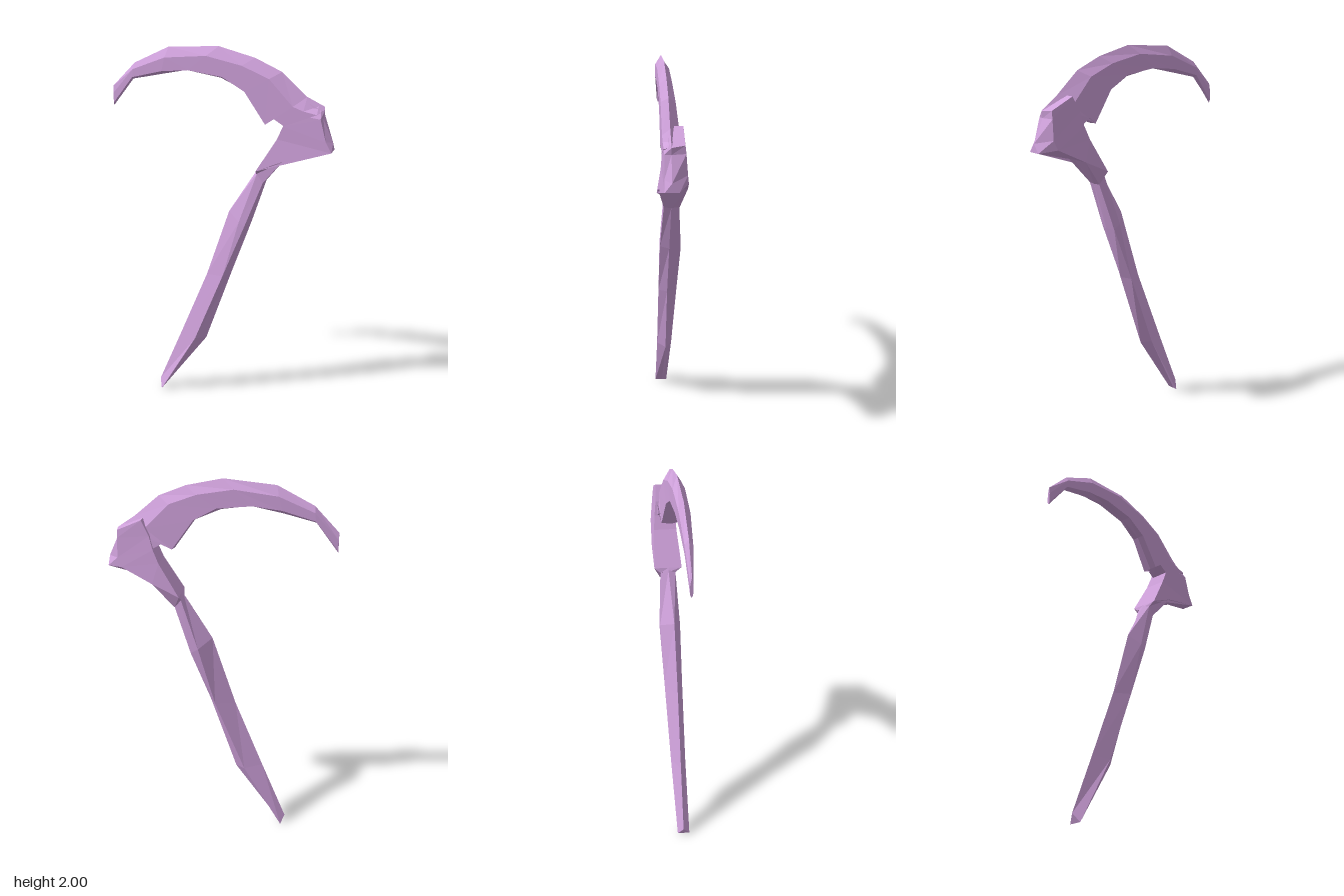
import * as THREE from 'three';

// Lofts six-sided sections. Each section: [left x,y], [right x,y],
// [front z, back z, left ridge z, right ridge z],
// [front-left, front-right, back-left, back-right] as fractions from left to right.
function loft(sections) {
  const rings = sections.map(([l, r, [zf, zb, zl, zr], [fl, fr, bl, br]]) => {
    const at = (t, z) => [l[0] + (r[0] - l[0]) * t, l[1] + (r[1] - l[1]) * t, z];
    return [at(0, zl), at(fl, zf), at(fr, zf), at(1, zr), at(br, zb), at(bl, zb)];
  });
  const pos = [];
  const tri = (a, b, c) => pos.push(...a, ...b, ...c);
  for (let s = 0; s < rings.length - 1; s++) {
    const a = rings[s], b = rings[s + 1];
    for (let i = 0; i < 6; i++) {
      const j = (i + 1) % 6;
      tri(a[i], a[j], b[j]);
      tri(a[i], b[j], b[i]);
    }
  }
  const first = rings[0], last = rings[rings.length - 1];
  for (let i = 1; i < 5; i++) {
    tri(first[0], first[i + 1], first[i]);
    tri(last[0], last[i], last[i + 1]);
  }
  const g = new THREE.BufferGeometry();
  g.setAttribute('position', new THREE.Float32BufferAttribute(pos, 3));
  g.computeVertexNormals(); // unshared corners give flat facets
  return g;
}

export function createModel() {
  const group = new THREE.Group();
  group.name = 'scythe';
  const lilac = new THREE.MeshStandardMaterial({ color: 0xd0a2dc });
  lilac.name = 'lilac';
  const add = (name, sections) => {
    const mesh = new THREE.Mesh(loft(sections), lilac);
    mesh.name = name;
    group.add(mesh);
  };

  // Tapering handle, bottom to top, with a ridge on each side
  const edge = t => [t, t, t, t];
  add('handle', [
    [[-0.37, 0.045], [-0.35, 0.0], [0.055, -0.01, 0.02, 0.015], edge(1)],
    [[-0.235, 0.37], [-0.09, 0.355], [0.055, -0.025, 0.02, 0.01], edge(0.65)],
    [[-0.08, 0.75], [0.055, 0.77], [0.055, -0.042, 0.02, 0.01], edge(0.75)],
    [[0.045, 1.13], [0.155, 1.06], [0.053, -0.055, 0.015, 0.005], [0.6, 0.88, 0.6, 0.95]],
    [[0.195, 1.375], [0.237, 1.313], [0.038, -0.04, 0, 0], [0.2, 0.95, 0.2, 0.95]],
  ]);

  // Thick angular head joining handle and blade
  add('head', [
    [[0.195, 1.365], [0.237, 1.313], [0.038, -0.042, 0, 0], [0.1, 0.95, 0.1, 0.95]],
    [[0.205, 1.385], [0.345, 1.45], [0.072, -0.074, 0, 0.015], [0, 1, 0, 1]],
    [[0.31, 1.56], [0.59, 1.515], [0.055, -0.064, 0, -0.015], [0, 1, 0, 0.7]],
    [[0.34, 1.63], [0.59, 1.56], [0.055, -0.058, 0, 0.02], [0, 0.88, 0, 0.75]],
    [[0.36, 1.7], [0.535, 1.68], [0.053, -0.05, 0, 0.02], [0, 0.97, 0, 0.95]],
    [[0.4, 1.78], [0.54, 1.715], [0.03, -0.045, 0, 0.02], [0, 0.9, 0, 0.9]],
  ]);

  // Curved blade, tip to head: outer edge, then inner edge
  const bevel = [0.36, 0.86, 0.36, 0.86];
  const body = [0.3, 0.97, 0.3, 0.97];
  add('blade', [
    [[-0.595, 1.755], [-0.595, 1.65], [0.026, 0.012, 0.02, 0.02], bevel],
    [[-0.47, 1.885], [-0.48, 1.8], [0.04, 0, 0.02, 0.02], bevel],
    [[-0.28, 1.98], [-0.315, 1.838], [0.05, -0.004, 0.02, 0.02], bevel],
    [[-0.01, 2.0], [-0.17, 1.87], [0.052, -0.008, 0.02, 0.02], [0.36, 0.97, 0.36, 0.97]],
    [[0.18, 1.955], [0, 1.842], [0.053, -0.012, 0.02, 0.02], [0.33, 0.9, 0.33, 0.9]],
    [[0.32, 1.895], [0.13, 1.785], [0.054, -0.018, 0.02, 0.02], body],
    [[0.45, 1.78], [0.24, 1.625], [0.055, -0.03, 0.02, 0.02], body],
    [[0.51, 1.738], [0.285, 1.66], [0.055, -0.04, 0.02, 0.02], body],
    [[0.54, 1.715], [0.345, 1.63], [0.055, -0.043, 0.02, 0.02], [0.15, 1, 0.15, 1]],
  ]);

  return group;
}
